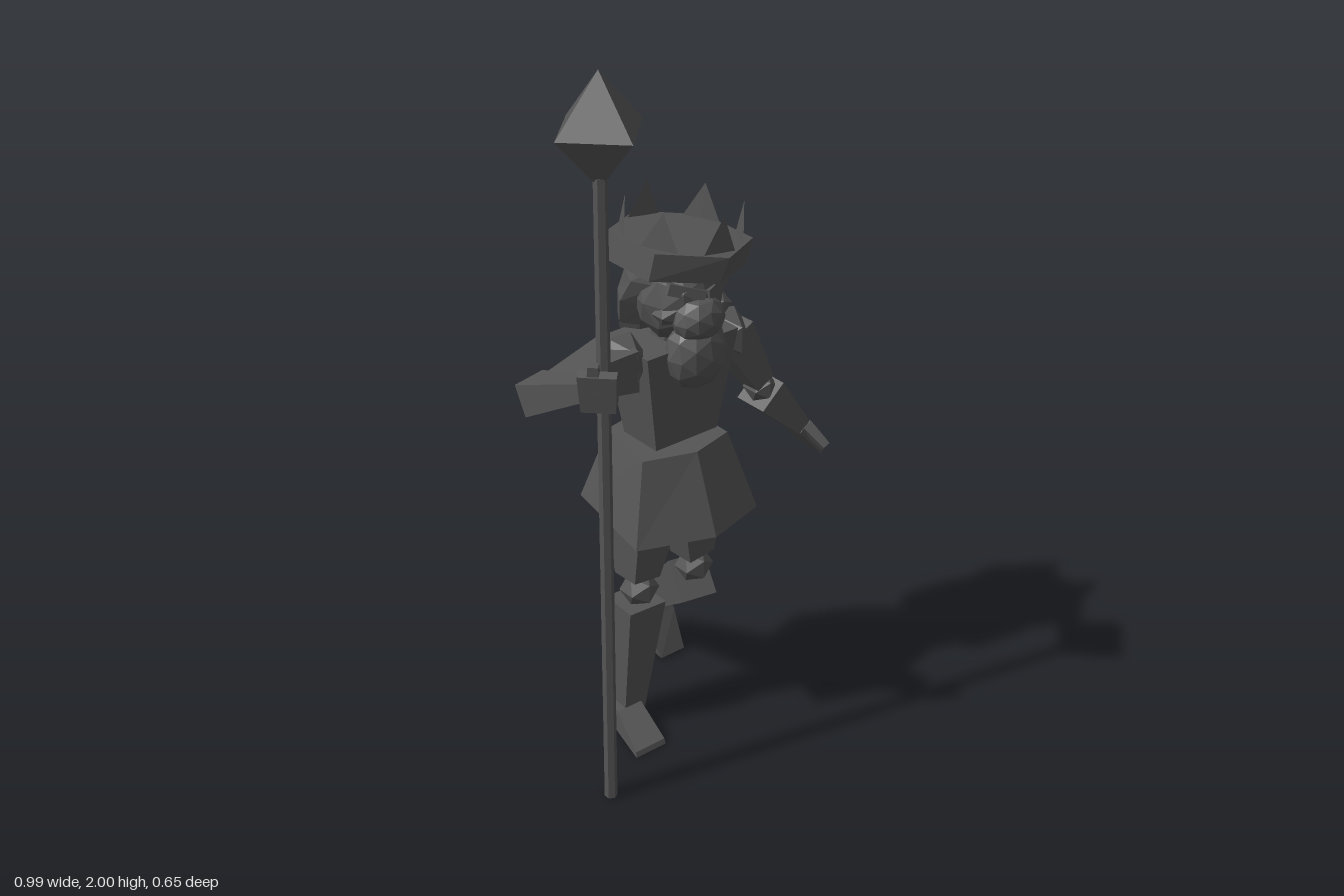
import * as THREE from 'three';

const V = (x, y, z) => new THREE.Vector3(x, y, z);
const mat = new THREE.MeshStandardMaterial({ color: 0x555555, flatShading: true });

function add(parent, name, geometry) {
  const m = new THREE.Mesh(geometry, mat);
  m.name = name;
  parent.add(m);
  return m;
}

// Skin a list of rings (counter-clockwise about the direction of travel) and cap both ends
function loft(rings) {
  const pos = [];
  const tri = (...pts) => pts.forEach(p => pos.push(p.x, p.y, p.z));
  const n = rings[0].length;
  for (let r = 0; r < rings.length - 1; r++) {
    const a = rings[r], b = rings[r + 1];
    for (let i = 0; i < n; i++) {
      const j = (i + 1) % n;
      tri(a[i], a[j], b[j]);
      tri(a[i], b[j], b[i]);
    }
  }
  const first = rings[0], last = rings[rings.length - 1];
  for (let i = 1; i < n - 1; i++) {
    tri(first[0], first[i + 1], first[i]);
    tri(last[0], last[i], last[i + 1]);
  }
  const g = new THREE.BufferGeometry();
  g.setAttribute('position', new THREE.Float32BufferAttribute(pos, 3));
  g.computeVertexNormals();
  return g;
}

// Horizontal elliptical ring
function ring(y, rx, rz, cx = 0, cz = 0, n = 6) {
  return Array.from({ length: n }, (_, i) => {
    const t = i / n * Math.PI * 2;
    return V(cx + rx * Math.sin(t), y, cz + rz * Math.cos(t));
  });
}

// Four-sided tapered block from a to b; sizes are [width, depth], depth lies along ref
function block(a, b, sa, sb, ref = V(0, 0, 1)) {
  const t = b.clone().sub(a).normalize();
  const d = ref.clone().addScaledVector(t, -ref.dot(t)).normalize();
  const w = d.clone().cross(t);
  const corners = (c, s) => [[-1, -1], [1, -1], [1, 1], [-1, 1]].map(([i, j]) =>
    c.clone().addScaledVector(w, i * s[0] / 2).addScaledVector(d, j * s[1] / 2));
  return loft([corners(a, sa), corners(b, sb)]);
}

// Faceted lump
function lump(c, sx, sy, sz, detail = 0) {
  return new THREE.IcosahedronGeometry(1, detail).scale(sx, sy, sz).translate(c.x, c.y, c.z);
}

export function createModel() {
  const model = new THREE.Group();
  model.name = 'crownedStaffBearer';

  // Staff with a diamond head
  const staff = new THREE.Group();
  staff.name = 'staff';
  model.add(staff);
  add(staff, 'staffShaft', new THREE.CylinderGeometry(0.017, 0.017, 1.75, 6).translate(-0.377, 0.875, 0.208));
  add(staff, 'staffHead', new THREE.OctahedronGeometry(1).scale(0.123, 0.14, 0.123).translate(-0.374, 1.86, 0.203));

  // Skirt
  const hem = [[-0.025, 0.21], [0.157, 0.16], [0.162, -0.15], [0.01, -0.22], [-0.17, -0.18], [-0.227, 0.134]];
  const cx = -0.022;
  add(model, 'skirt', loft([
    hem.map(([x, z]) => V(x, 0.662, z)),
    hem.map(([x, z]) => V(cx + (x - cx) * 0.7, 0.88, z * 0.62)),
  ]));

  // Torso and neck
  add(model, 'torso', block(V(-0.003, 0.86, -0.005), V(-0.003, 1.165, -0.005), [0.195, 0.13], [0.295, 0.185]));
  add(model, 'neck', new THREE.CylinderGeometry(0.05, 0.06, 0.1, 6).translate(0, 1.19, 0));

  // Head, face and hair
  const head = new THREE.Group();
  head.name = 'head';
  model.add(head);
  add(head, 'skull', lump(V(0.01, 1.28, 0.01), 0.115, 0.13, 0.115, 1));
  add(head, 'beard', lump(V(-0.003, 1.147, 0.095), 0.087, 0.1, 0.07, 1));
  add(head, 'muzzle', lump(V(-0.002, 1.245, 0.105), 0.074, 0.062, 0.058, 1));
  for (const s of [-1, 1]) {
    add(head, 'cheek', lump(V(0.015 + s * 0.075, 1.25 - s * 0.01, 0.06), 0.045, 0.033, 0.04));
    add(head, 'brow', block(V(0.012, 1.305, 0.105), V(0.015 + s * 0.09, 1.325 - s * 0.01, 0.07), [0.03, 0.04], [0.03, 0.03]));
  }
  add(head, 'hair', loft([
    ring(1.07, 0.055, 0.025, 0.015, -0.13, 8),
    ring(1.1, 0.085, 0.05, 0.015, -0.12, 8),
    ring(1.18, 0.105, 0.065, 0.015, -0.105, 8),
    ring(1.26, 0.132, 0.085, 0.018, -0.07, 8),
    ring(1.33, 0.128, 0.105, 0.015, -0.025, 8),
    ring(1.4, 0.1, 0.1, 0.015, 0, 8),
  ]));

  // Tilted six-sided crown with flat spikes standing at its corners
  const crown = new THREE.Group();
  crown.name = 'crown';
  crown.position.set(0.013, 1.4, 0.01);
  crown.rotation.z = -0.14;
  model.add(crown);
  add(crown, 'crownBand', loft([ring(-0.04, 0.183, 0.165), ring(0.035, 0.183, 0.187)]));
  for (let i = 0; i < 6; i++) {
    const spike = add(crown, 'crownSpike', new THREE.ConeGeometry(0.052, 0.1, 4).scale(1, 1, 0.03));
    const t = i / 6 * Math.PI * 2;
    spike.position.set(0.15 * Math.sin(t), 0.08, 0.15 * Math.cos(t));
    spike.rotation.y = t;
  }

  // Right arm, holding the staff
  const rightArm = new THREE.Group();
  rightArm.name = 'rightArm';
  model.add(rightArm);
  const grip = V(1, 0, 1);
  add(rightArm, 'rightShoulder', lump(V(-0.17, 1.145, 0), 0.065, 0.075, 0.088));
  add(rightArm, 'rightUpperArm', block(V(-0.17, 1.135, 0.005), V(-0.385, 1.135, 0.015), [0.115, 0.14], [0.065, 0.065]));
  add(rightArm, 'rightElbow', lump(V(-0.395, 1.13, 0.005), 0.045, 0.045, 0.045));
  add(rightArm, 'rightForearm', block(V(-0.43, 1.13, -0.005), V(-0.39, 1.205, 0.175), [0.1, 0.085], [0.06, 0.045], V(0, 1, 0)));
  add(rightArm, 'rightHand', block(V(-0.385, 1.165, 0.2), V(-0.405, 1.265, 0.22), [0.045, 0.085], [0.025, 0.095], grip));
  add(rightArm, 'rightThumb', block(V(-0.405, 1.22, 0.205), V(-0.412, 1.29, 0.215), [0.03, 0.035], [0.02, 0.025], grip));

  // Left arm, hanging out to the side
  const leftArm = new THREE.Group();
  leftArm.name = 'leftArm';
  model.add(leftArm);
  add(leftArm, 'leftShoulder', lump(V(0.17, 1.115, 0), 0.068, 0.07, 0.088));
  add(leftArm, 'leftUpperArm', block(V(0.17, 1.12, 0), V(0.275, 0.945, 0.015), [0.11, 0.13], [0.06, 0.08]));
  add(leftArm, 'leftElbow', lump(V(0.288, 0.92, 0.015), 0.045, 0.045, 0.05));
  add(leftArm, 'leftForearm', block(V(0.29, 0.905, 0.015), V(0.425, 0.755, 0.015), [0.095, 0.105], [0.045, 0.08]));
  add(leftArm, 'leftHand', block(V(0.42, 0.765, 0.015), V(0.485, 0.67, 0.015), [0.045, 0.085], [0.02, 0.095]));
  add(leftArm, 'leftThumb', block(V(0.432, 0.76, 0.045), V(0.457, 0.71, 0.1), [0.03, 0.035], [0.022, 0.025]));

  // Right leg, standing
  const rightLeg = new THREE.Group();
  rightLeg.name = 'rightLeg';
  model.add(rightLeg);
  add(rightLeg, 'rightThigh', block(V(-0.097, 0.7, -0.01), V(-0.12, 0.48, 0), [0.145, 0.175], [0.085, 0.085]));
  add(rightLeg, 'rightKnee', lump(V(-0.118, 0.44, 0.005), 0.055, 0.05, 0.052));
  add(rightLeg, 'rightShin', block(V(-0.122, 0.4, -0.005), V(-0.138, 0.05, -0.03), [0.12, 0.105], [0.07, 0.075]));
  add(rightLeg, 'rightFoot', loft([
    [V(-0.23, 0, 0.13), V(-0.13, 0, 0.13), V(-0.108, 0, -0.07), V(-0.18, 0, -0.07)],
    [V(-0.228, 0.015, 0.125), V(-0.13, 0.015, 0.125), V(-0.108, 0.03, -0.07), V(-0.18, 0.03, -0.07)],
    [V(-0.2, 0.07, 0.01), V(-0.12, 0.07, 0.01), V(-0.11, 0.075, -0.065), V(-0.175, 0.075, -0.065)],
  ]));

  // Left leg, trailing on its toe
  const leftLeg = new THREE.Group();
  leftLeg.name = 'leftLeg';
  model.add(leftLeg);
  add(leftLeg, 'leftThigh', block(V(0.042, 0.7, -0.01), V(0.07, 0.48, 0), [0.14, 0.175], [0.085, 0.085]));
  add(leftLeg, 'leftKnee', lump(V(0.075, 0.435, 0), 0.055, 0.05, 0.05));
  add(leftLeg, 'leftShin', block(V(0.078, 0.385, -0.01), V(0.125, 0.175, -0.255), [0.11, 0.12], [0.065, 0.07], V(0, 1, 0)));
  add(leftLeg, 'leftFoot', loft([
    [V(0.1, 0.01, -0.175), V(0.185, 0.01, -0.175), V(0.185, 0.02, -0.225), V(0.1, 0.02, -0.225)],
    [V(0.075, 0.13, -0.225), V(0.18, 0.13, -0.215), V(0.165, 0.145, -0.325), V(0.075, 0.145, -0.315)],
    [V(0.085, 0.2, -0.25), V(0.165, 0.2, -0.24), V(0.155, 0.19, -0.285), V(0.08, 0.19, -0.28)],
  ]));

  return model;
}
